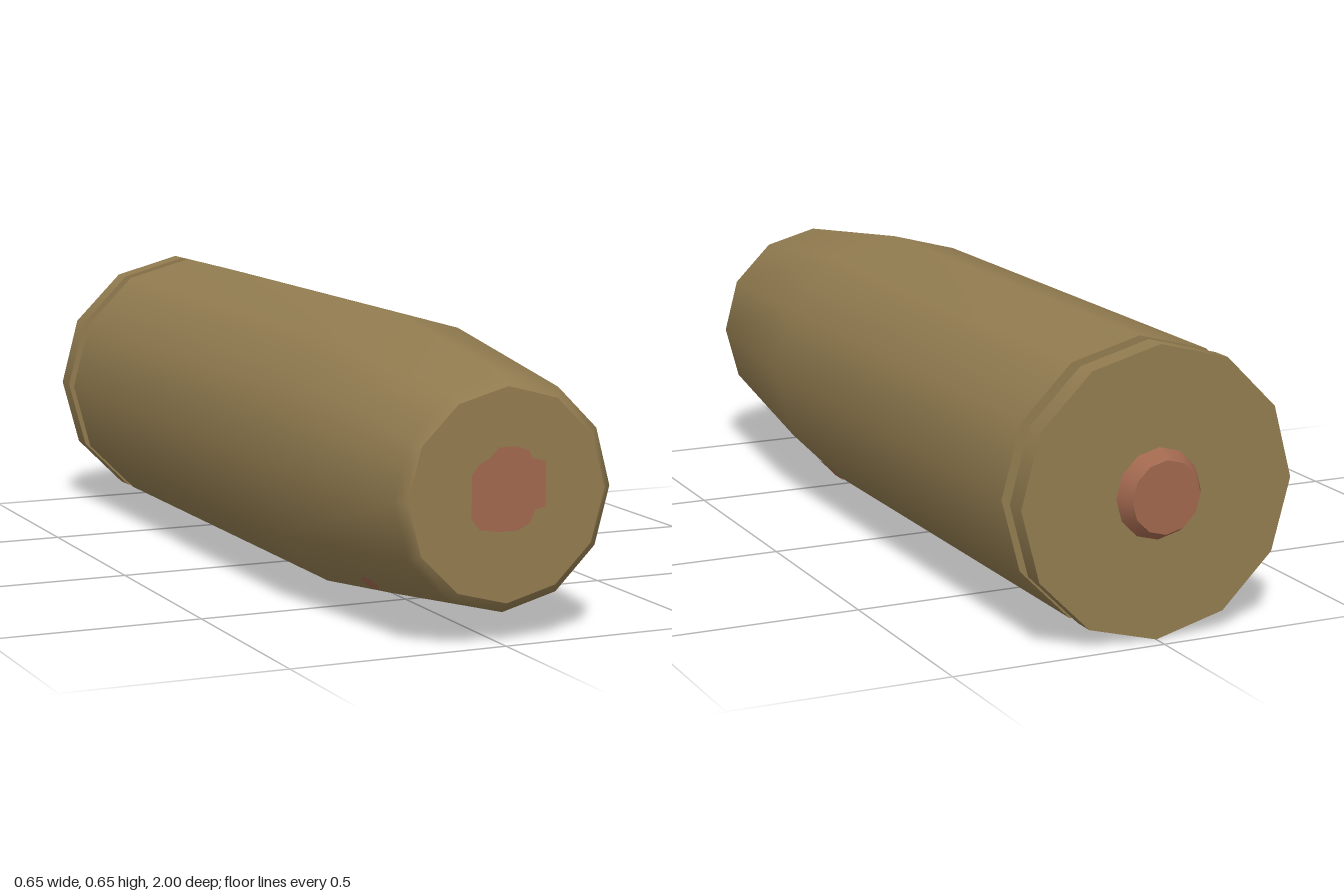
import * as THREE from 'three';

const SIDES = 12, R = 0.326, CY = 0.327;

export function createModel() {
  const brass = new THREE.MeshStandardMaterial({ color: 0x927c50 });
  brass.name = 'brass';
  const copper = new THREE.MeshStandardMaterial({ color: 0xa0674e });
  copper.name = 'copper';

  const group = new THREE.Group();
  group.name = 'cartridge';
  const add = (name, geometry, material) => {
    const mesh = new THREE.Mesh(geometry, material);
    mesh.name = name;
    mesh.position.y = CY;
    group.add(mesh);
    return mesh;
  };

  // Turned wall along z from [radius, z] pairs, ordered back to front
  const turned = (name, profile, material) => add(name,
    new THREE.LatheGeometry(profile.map(([r, z]) => new THREE.Vector2(r, z)), SIDES).rotateX(Math.PI / 2), material);

  // Flat twelve-sided end or step face
  const cap = (name, r, z, facing, material, inner = 0) => {
    const g = inner ? new THREE.RingGeometry(inner, r, SIDES) : new THREE.CircleGeometry(r, SIDES);
    if (facing < 0) g.rotateY(Math.PI);
    add(name, g.translate(0, 0, z), material);
  };

  // Casing: straight body, tapered nose and small front bevel
  turned('casing', [[R, -0.87], [R, 0.43], [0.256, 0.98], [0.233, 1]], brass);
  cap('noseFace', 0.233, 1, 1, brass);
  cap('casingBackStep', R, -0.87, -1, brass, 0.29);

  // Extractor groove and rim
  turned('groove', [[0.29, -0.91], [0.29, -0.87]], brass);
  turned('rim', [[R, -0.964], [R, -0.91]], brass);
  cap('rimFrontStep', R, -0.91, 1, brass, 0.29);
  cap('rimBackFace', R, -0.964, -1, brass);

  // Primer button
  turned('primer', [[0.082, -1], [0.102, -0.964]], copper);
  cap('primerFace', 0.082, -1, -1, copper);

  // Uneven copper patch on the nose
  const patch = [[-0.085, -0.045], [-0.065, -0.07], [-0.02, -0.077], [0.025, -0.077], [0.055, -0.062], [0.065, -0.035],
    [0.09, -0.03], [0.09, 0.068], [0.057, 0.077], [0.05, 0.093], [0.022, 0.104], [-0.022, 0.104], [-0.043, 0.083],
    [-0.068, 0.07], [-0.085, 0.05]];
  const shape = new THREE.Shape(patch.map(([x, y]) => new THREE.Vector2(x, y)));
  add('nosePatch', new THREE.ShapeGeometry(shape).translate(0, 0, 1.001), copper);

  // Small copper spots that follow the faceted wall
  const onWall = (deg, z) => {
    const offFace = THREE.MathUtils.degToRad(THREE.MathUtils.euclideanModulo(deg, 30) - 15);
    const radius = z > 0.43 ? R - (z - 0.43) * 0.127 : R;
    const r = radius * Math.cos(Math.PI / SIDES) / Math.cos(offFace) + 0.003;
    const a = THREE.MathUtils.degToRad(deg);
    return [r * Math.cos(a), r * Math.sin(a), z];
  };
  const spot = (name, deg, z, spread, length) => {
    const n = 12, pos = [...onWall(deg, z)], index = [];
    for (let i = 0; i < n; i++) {
      const t = (i / n) * Math.PI * 2;
      pos.push(...onWall(deg + spread * Math.cos(t), z + length * Math.sin(t)));
      index.push(0, 1 + ((i + 1) % n), 1 + i);
    }
    const g = new THREE.BufferGeometry();
    g.setAttribute('position', new THREE.Float32BufferAttribute(pos, 3));
    // Wind the fan outward
    for (let i = 0; i < index.length; i += 3) [index[i + 1], index[i + 2]] = [index[i + 2], index[i + 1]];
    g.setIndex(index);
    g.computeVertexNormals();
    add(name, g, copper);
  };
  spot('leftSpot', -54, 0.41, 6.5, 0.05);
  spot('rightSpot', -125, 0.67, 4, 0.03);

  return group;
}
